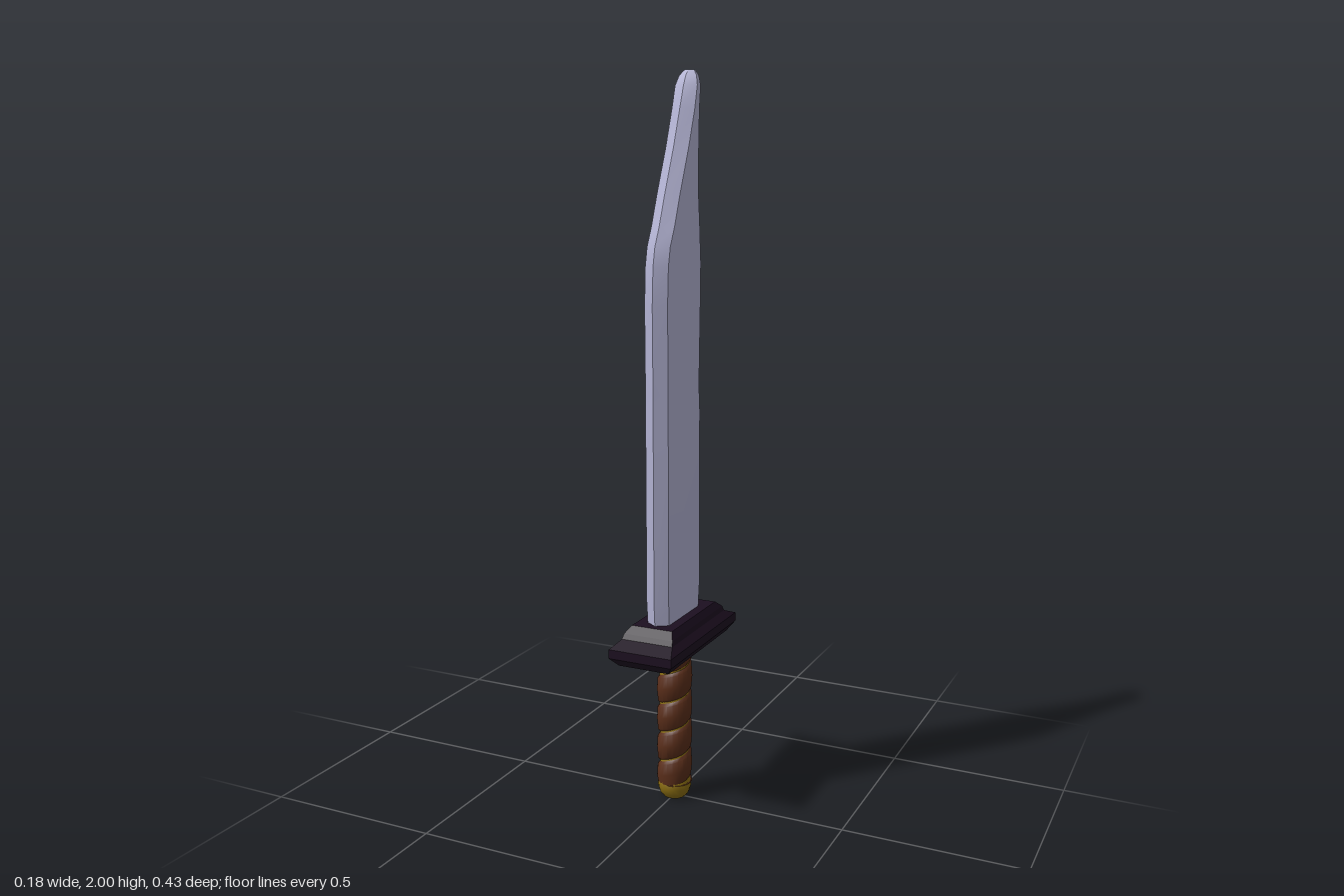
import * as THREE from 'three';
import { toCreasedNormals } from 'three/addons/utils/BufferGeometryUtils.js';

// Skin a stack of rings (bottom to top); closed rings are capped at both ends.
function loft(rings, closed, crease) {
  const n = rings[0].length, index = [];
  const steps = closed ? n : n - 1;
  for (let i = 0; i < rings.length - 1; i++) {
    for (let j = 0; j < steps; j++) {
      const k = (j + 1) % n;
      const a = i * n + j, b = i * n + k, c = b + n, d = a + n;
      index.push(a, b, c, a, c, d);
    }
  }
  if (closed) {
    const top = (rings.length - 1) * n;
    for (let j = 1; j < n - 1; j++) {
      index.push(0, j + 1, j, top, top + j, top + j + 1);
    }
  }
  const geo = new THREE.BufferGeometry();
  geo.setAttribute('position', new THREE.Float32BufferAttribute(rings.flat(2), 3));
  geo.setIndex(index);
  return toCreasedNormals(geo, crease);
}

export function createModel() {
  const group = new THREE.Group();
  const add = (name, geo, color, side = THREE.FrontSide) => {
    const mesh = new THREE.Mesh(geo, new THREE.MeshStandardMaterial({ color, side }));
    mesh.name = name;
    group.add(mesh);
  };

  // Blade: hexagonal sections given as [y, front z, back z, half thickness]
  const sections = [
    [0.5, 0.12, -0.105, 0.032], [0.6, 0.128, -0.114, 0.033], [1.1, 0.13, -0.113, 0.033],
    [1.17, 0.13, -0.107, 0.033], [1.4, 0.133, -0.114, 0.033], [1.5, 0.128, -0.116, 0.033],
    [1.55, 0.117, -0.112, 0.033], [1.6, 0.092, -0.108, 0.033], [1.68, 0.06, -0.1, 0.033],
    [1.8, 0.007, -0.1, 0.033], [1.9, -0.031, -0.103, 0.033], [1.96, -0.054, -0.107, 0.032],
    [1.985, -0.068, -0.106, 0.025], [2.0, -0.083, -0.1, 0.014],
  ];
  const blade = sections.map(([y, f, b, w]) => {
    const bevel = Math.min(0.022, (f - b) * 0.3);
    return [
      [0, y, f], [w, y, f - bevel], [w, y, b + bevel],
      [0, y, b], [-w, y, b + bevel], [-w, y, f - bevel],
    ];
  });
  add('blade', loft(blade, true, 0.45), 0xb2b2d2);

  // Guard: stacked rectangles as [y, half width, half depth]
  const guard = [
    [0.44, 0.074, 0.192], [0.465, 0.092, 0.216], [0.49, 0.092, 0.216],
    [0.508, 0.075, 0.172], [0.522, 0.072, 0.165], [0.54, 0.06, 0.142],
  ].map(([y, w, d]) => [[w, y, d], [w, y, -d], [-w, y, -d], [-w, y, d]]);
  add('guard', loft(guard, true, 0.2), 0x1c0f20);

  // Grip core and rounded pommel
  const core = [[0, 0], [0.031, 0], [0.042, 0.013], [0.047, 0.03], [0.047, 0.05], [0.042, 0.058], [0.042, 0.46]];
  const coreGeo = new THREE.LatheGeometry(core.map(([r, y]) => new THREE.Vector2(r, y)), 16);
  add('gripAndPommel', toCreasedNormals(coreGeo, 0.7), 0x8a6d12);

  // Leather strap wound up the grip, with a raised profile of [rise, radius]
  const pitch = 0.086, turns = 6, perTurn = 20;
  const strap = [[0, 0.042], [0.006, 0.047], [0.04, 0.05], [0.073, 0.048], [0.081, 0.042]].map(([rise, r]) => {
    const row = [];
    for (let s = 0; s <= turns * perTurn; s++) {
      const t = (s / perTurn) * Math.PI * 2;
      const y = -0.05 + rise + (pitch * s) / perTurn;
      row.push([r * Math.sin(t), THREE.MathUtils.clamp(y, 0.045, 0.45), r * Math.cos(t)]);
    }
    return row;
  });
  add('gripStrap', loft(strap, false, 0.7), 0x5a2e1a, THREE.DoubleSide);

  return group;
}
